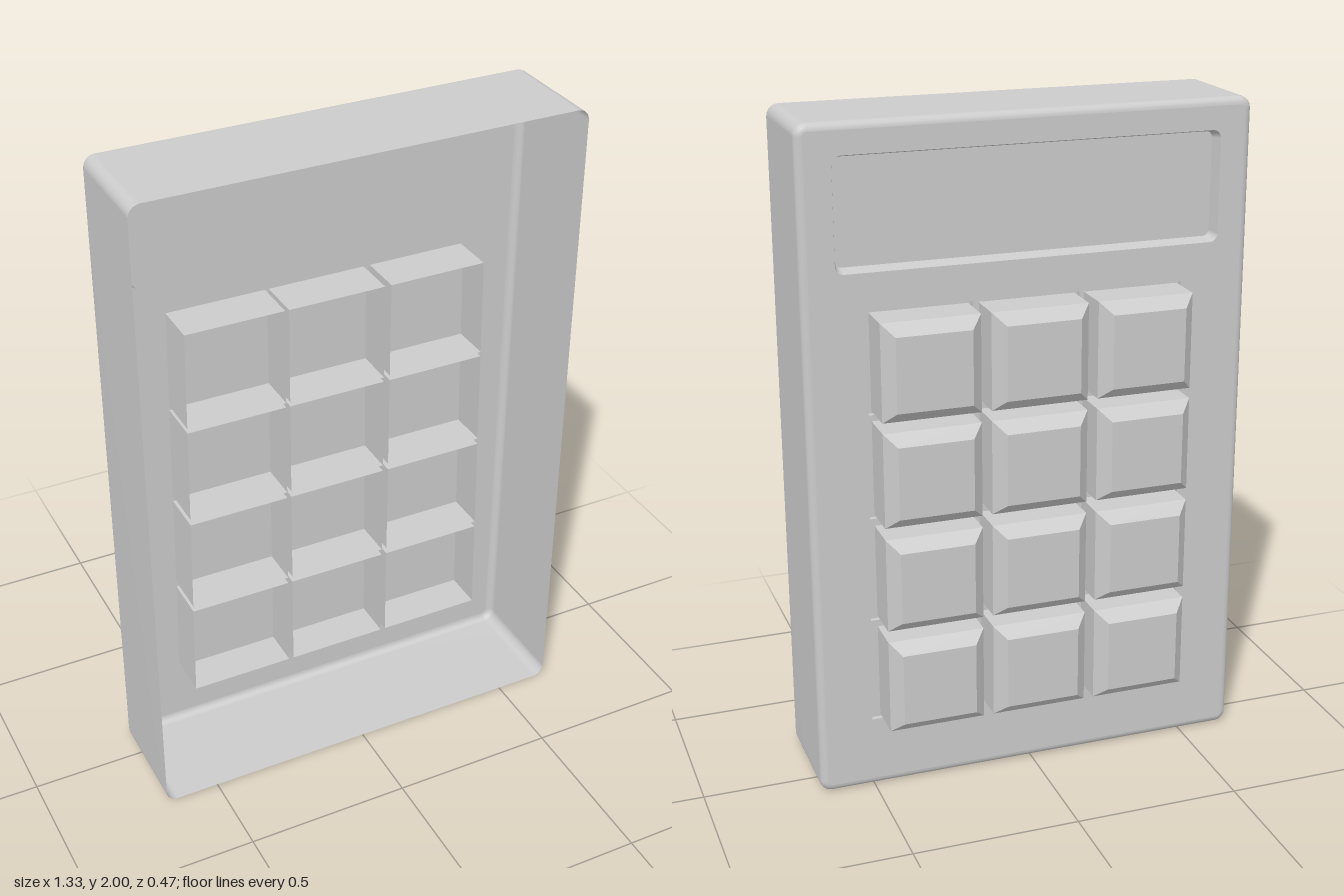
import * as THREE from 'three';

const FACE = -0.1, OPEN = 0.235; // keypad panel and open rim, along z

const material = new THREE.MeshStandardMaterial({ color: 0xcccccc, side: THREE.DoubleSide });

function addMesh(parent, name, geometry) {
  const mesh = new THREE.Mesh(geometry, material);
  mesh.name = name;
  parent.add(mesh);
  return mesh;
}

// Rounded rectangle as a counter-clockwise ring of points
function roundedRing(x0, x1, y0, y1, r, n = 5) {
  const centres = [[x1 - r, y1 - r], [x0 + r, y1 - r], [x0 + r, y0 + r], [x1 - r, y0 + r]];
  const points = [];
  centres.forEach(([cx, cy], k) => {
    for (let i = 0; i <= n; i++) {
      const a = (k + i / n) * Math.PI / 2;
      points.push(new THREE.Vector2(cx + r * Math.cos(a), cy + r * Math.sin(a)));
    }
  });
  return points;
}

// Closed strip of faces through matching rings, listed from +z to -z
function loft(rings, flat = false) {
  const n = rings[0].points.length, pos = [], index = [];
  for (const { points, z } of rings) for (const p of points) pos.push(p.x, p.y, z);
  for (let k = 0; k < rings.length - 1; k++) {
    for (let i = 0; i < n; i++) {
      const j = (i + 1) % n, a = k * n, b = a + n;
      index.push(a + i, b + i, a + j, a + j, b + i, b + j);
    }
  }
  let geometry = new THREE.BufferGeometry();
  geometry.setAttribute('position', new THREE.Float32BufferAttribute(pos, 3));
  geometry.setIndex(index);
  if (flat) geometry = geometry.toNonIndexed();
  geometry.computeVertexNormals();
  return geometry;
}

function plate(points, z, holes = []) {
  const shape = new THREE.Shape(points);
  holes.forEach(h => shape.holes.push(new THREE.Path(h)));
  return new THREE.ShapeGeometry(shape).translate(0, 0, z);
}

// Block whose outer end is chamfered to a smaller cap
function keyGeometry(w, h, back, shoulder, cap, inset) {
  const box = new THREE.BoxGeometry(w, h, 1, 1, 1, 2);
  const p = box.attributes.position;
  for (let i = 0; i < p.count; i++) {
    const z = p.getZ(i);
    if (z < -0.25) {
      p.setX(i, p.getX(i) * (1 - 2 * inset / w));
      p.setY(i, p.getY(i) * (1 - 2 * inset / h));
    }
    p.setZ(i, z < -0.25 ? cap : z > 0.25 ? back : shoulder);
  }
  const geometry = box.toNonIndexed();
  geometry.computeVertexNormals();
  return geometry;
}

export function createModel() {
  const model = new THREE.Group();
  model.name = 'keypad';

  // Case walls, rolling over a small fillet into the panel
  const outline = inset => roundedRing(-0.665 + inset, 0.665 - inset, inset, 2 - inset, 0.035 - inset);
  const fillet = 0.022, rings = [{ points: outline(0), z: OPEN }];
  for (let i = 0; i <= 5; i++) {
    const a = i / 5 * Math.PI / 2;
    rings.push({ points: outline(fillet * (1 - Math.cos(a))), z: FACE + fillet * (1 - Math.sin(a)) });
  }
  addMesh(model, 'caseWalls', loft(rings));

  // Sunken display window with sloping sides
  const windowRim = roundedRing(-0.57, 0.567, 1.585, 1.91, 0.025);
  const windowFloor = roundedRing(-0.56, 0.557, 1.595, 1.9, 0.018);
  const windowZ = FACE + 0.04;
  addMesh(model, 'displaySides', loft([{ points: windowFloor, z: windowZ }, { points: windowRim, z: FACE }]));
  addMesh(model, 'display', plate(windowFloor, windowZ));

  // Sockets splay slightly towards the bottom row
  const rows = [[1.175, 1.477], [0.862, 1.16], [0.543, 0.842], [0.22, 0.523]];
  const topX = [[-0.457, -0.155], [-0.143, 0.158], [0.178, 0.48]];
  const bottomX = [[-0.477, -0.16], [-0.145, 0.165], [0.18, 0.503]];
  const keyX = [[-0.45, -0.162], [-0.132, 0.156], [0.186, 0.474]];
  const sockets = [];
  for (const [y0, y1] of rows) {
    for (let c = 0; c < 3; c++) {
      const edge = (side, y) => new THREE.Vector2(
        THREE.MathUtils.lerp(topX[c][side], bottomX[c][side], (1.477 - y) / 1.257), y);
      const hole = [edge(0, y0), edge(1, y0), edge(1, y1), edge(0, y1)];
      sockets.push(hole);

      // Socket sleeve, open to the inside of the case
      addMesh(model, 'socketWalls', loft([{ points: hole, z: 0.035 }, { points: hole, z: FACE }], true));
      addMesh(model, 'socketFloor', plate(hole, -0.085));

      // Key standing in its socket
      const [x0, x1] = keyX[c];
      const key = addMesh(model, 'key', keyGeometry(x1 - x0, y1 - y0 - 0.016, -0.086, -0.2, -0.235, 0.034));
      key.position.set((x0 + x1) / 2, (y0 + y1) / 2, 0);
    }
  }

  // Panel with openings for the window and the keys
  addMesh(model, 'panel', plate(outline(fillet), FACE, [windowRim, ...sockets]));
  return model;
}
